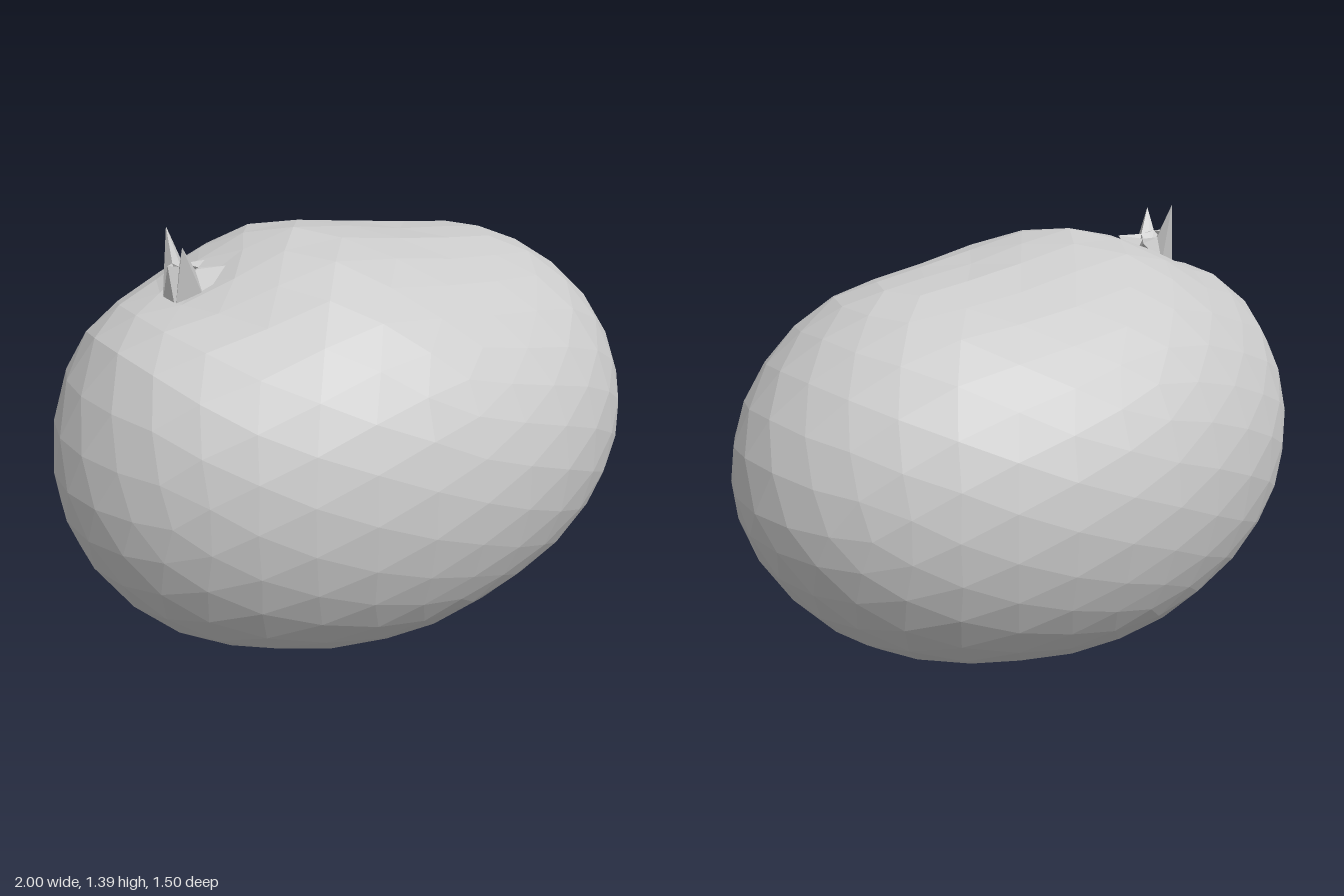
import * as THREE from 'three';

// Linear lookup in a list of [x, value] pairs
function lookup(table, x) {
  if (x <= table[0][0]) return table[0][1];
  for (let i = 1; i < table.length; i++) {
    const [x0, a] = table[i - 1], [x1, b] = table[i];
    if (x <= x1) return a + ((b - a) * (x - x0)) / (x1 - x0);
  }
  return table[table.length - 1][1];
}

// Radii of the body above and below its middle, along its length
const UPPER = [[-0.97, 0.82], [-0.84, 0.83], [-0.75, 0.77], [-0.6, 0.7], [-0.5, 0.7], [-0.23, 0.715],
  [0, 0.67], [0.2, 0.645], [0.4, 0.665], [0.55, 0.705], [0.77, 0.725], [0.92, 0.75], [0.99, 0.85]];
const LOWER = [[-0.95, 0.77], [-0.71, 0.755], [-0.49, 0.72], [0, 0.71], [0.24, 0.685], [0.77, 0.695], [0.91, 0.66], [0.99, 0.57]];
const MIDDLE = 0.65;

function makeBody() {
  const geometry = new THREE.IcosahedronGeometry(1, 5);
  const p = geometry.attributes.position;
  for (let i = 0; i < p.count; i++) {
    const x = p.getX(i), v = p.getY(i), w = p.getZ(i);
    let y = MIDDLE + v * lookup(v > 0 ? UPPER : LOWER, x);
    // shallow pit round the stalk
    if (v > 0) y -= 0.025 * Math.exp(-((x + 0.58) ** 2 + w * w) / 0.015);
    // flattened underside
    p.setXYZ(i, x, Math.max(y, 0), w * 0.748);
  }
  geometry.computeVertexNormals();
  return geometry;
}

// Crown of five pointed sepals: base, notches and tips joined round a ring
function makeCrown() {
  const tips = [[-0.475, 1.28, 0.06], [-0.62, 1.36, 0.07], [-0.635, 1.29, 0], [-0.6, 1.39, -0.07], [-0.48, 1.27, -0.06]]
    .map((t) => new THREE.Vector3(...t));
  const ring = (angle, radius, y, slope) => new THREE.Vector3(
    -0.575 + radius * Math.cos(angle), y + slope * Math.cos(angle), radius * Math.sin(angle));
  const angles = [0.7, 1.95, Math.PI, 4.33, 5.58];
  const points = [];
  const n = tips.length;
  for (let i = 0; i < n; i++) {
    const a = angles[i];
    const before = (a + angles[(i + n - 1) % n] - (i === 0 ? 2 * Math.PI : 0)) / 2;
    const after = (a + angles[(i + 1) % n] + (i === n - 1 ? 2 * Math.PI : 0)) / 2;
    const b0 = ring(before, 0.075, 1.19, 0.03), b1 = ring(after, 0.075, 1.19, 0.03);
    const n0 = ring(before, 0.04, 1.28, -0.01), n1 = ring(after, 0.04, 1.28, -0.01);
    const core = new THREE.Vector3(-0.575, 1.23, 0);
    points.push(b0, n0, b1, n0, n1, b1); // side wall
    points.push(b0, tips[i], b1); // outer face of the sepal
    points.push(n0, core, tips[i], core, n1, tips[i]); // inner faces
    points.push(b0, n0, tips[i], n1, b1, tips[i]); // edges
  }
  const geometry = new THREE.BufferGeometry().setFromPoints(points);
  geometry.computeVertexNormals();
  return geometry;
}

export function createModel() {
  const group = new THREE.Group();
  group.name = 'fruit';
  const add = (name, geometry, side) => {
    const material = new THREE.MeshStandardMaterial({ color: 0xcccccc, flatShading: true, side });
    const mesh = new THREE.Mesh(geometry, material);
    mesh.name = name;
    group.add(mesh);
  };
  add('body', makeBody(), THREE.FrontSide);
  add('stalkCrown', makeCrown(), THREE.DoubleSide);
  return group;
}
